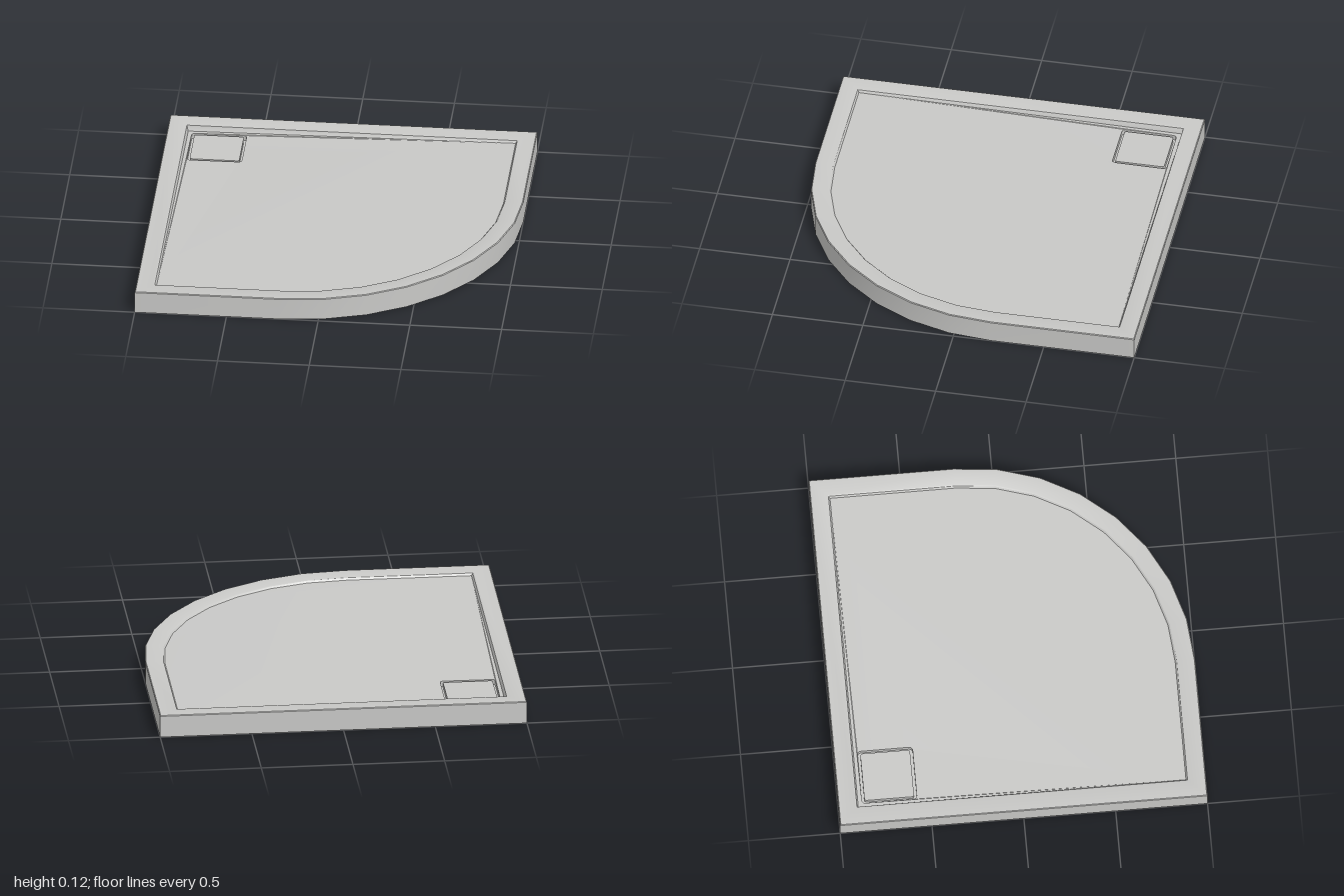
import * as THREE from 'three';
import { mergeGeometries, toCreasedNormals } from 'three/addons/utils/BufferGeometryUtils.js';

const ARC_CENTRE = -0.21, DRAIN = -0.72, RECESS_Y = 0.06;

// Tray outline (square with one large rounded corner), moved inwards by d
function outline(d) {
  const pts = [[-1 + d, -1 + d], [1 - d, -1 + d]];
  const r = 1 - ARC_CENTRE - d;
  for (let i = 0; i <= 8; i++) {
    const a = (i / 8) * Math.PI / 2;
    pts.push([ARC_CENTRE + r * Math.cos(a), ARC_CENTRE + r * Math.sin(a)]);
  }
  pts.push([-1 + d, 1 - d]);
  return pts;
}

// Rounded square round the drain
function roundedSquare(half, r) {
  const pts = [];
  for (let c = 0; c < 4; c++) {
    const sx = c === 0 || c === 3 ? -1 : 1, sz = c < 2 ? -1 : 1;
    for (let i = 0; i <= 3; i++) {
      const a = Math.PI + (c + i / 3) * Math.PI / 2;
      pts.push([DRAIN + sx * (half - r) + r * Math.cos(a), DRAIN + sz * (half - r) + r * Math.sin(a)]);
    }
  }
  return pts;
}

function circle(r, n) {
  return Array.from({ length: n }, (_, i) => {
    const a = (i / n) * Math.PI * 2;
    return [DRAIN + r * Math.cos(a), DRAIN + r * Math.sin(a)];
  });
}

// The floor falls towards the drain corner
const floorY = (x, z) => 0.088 + 0.013 * Math.max(0, Math.hypot(x + 0.9, z + 0.9) - 0.3);
const level = (y) => () => y;

// Joins successive rings [points, height function] with quads
function loft(rings) {
  const pos = [];
  const at = ([pts, y], i) => {
    const [x, z] = pts[i % pts.length];
    return [x, y(x, z), z];
  };
  for (let k = 0; k + 1 < rings.length; k++) {
    const a = rings[k], b = rings[k + 1];
    for (let i = 0; i < a[0].length; i++) {
      pos.push(...at(a, i), ...at(b, i), ...at(a, i + 1));
      pos.push(...at(a, i + 1), ...at(b, i), ...at(b, i + 1));
    }
  }
  const g = new THREE.BufferGeometry();
  g.setAttribute('position', new THREE.Float32BufferAttribute(pos, 3));
  return g;
}

// Horizontal face with an optional hole, facing up or down
function cap(outer, hole, y, up) {
  const s = up ? -1 : 1;
  const toV = (pts) => pts.map(([x, z]) => new THREE.Vector2(x, s * z));
  const shape = new THREE.Shape(toV(outer));
  if (hole) shape.holes.push(new THREE.Path(toV(hole)));
  const g = new THREE.ShapeGeometry(shape).toNonIndexed();
  g.rotateX(s * Math.PI / 2);
  const p = g.attributes.position;
  for (let i = 0; i < p.count; i++) p.setY(i, y(p.getX(i), p.getZ(i)));
  g.deleteAttribute('uv');
  g.deleteAttribute('normal');
  return g;
}

function part(name, geometries, material) {
  const mesh = new THREE.Mesh(toCreasedNormals(mergeGeometries(geometries), 0.4), material);
  mesh.name = name;
  return mesh;
}

export function createModel() {
  const group = new THREE.Group();
  group.name = 'showerTray';
  const grey = new THREE.MeshStandardMaterial({ color: 0xc8c8c6 });
  grey.name = 'light grey';

  const recess = roundedSquare(0.15, 0.018);
  const lid = roundedSquare(0.135, 0.012);
  const hole = circle(0.13, 32);

  // Outer wall, rim and inner wall
  group.add(part('rim', [loft([
    [outline(0), level(0)],
    [outline(0), level(0.121)],
    [outline(0.004), level(0.125)],
    [outline(0.092), level(0.123)],
    [outline(0.1), level(0.12)],
    [outline(0.108), floorY],
  ])], grey));

  // Sloping floor with the drain recess
  group.add(part('floor', [
    cap(outline(0.108), recess, floorY, true),
    loft([[recess, floorY], [recess, level(RECESS_Y)]]),
    cap(recess, hole, level(RECESS_Y), true),
  ], grey));

  // Underside with the waste hole
  group.add(part('underside', [
    cap(outline(0), hole, level(0), false),
    loft([[hole, level(RECESS_Y)], [hole, level(0)]]),
  ], grey));

  // Square drain cover
  group.add(part('drainCover', [
    loft([[lid, level(RECESS_Y)], [lid, level(0.088)]]),
    cap(lid, null, level(0.088), true),
    cap(lid, null, level(RECESS_Y), false),
  ], grey));

  return group;
}
